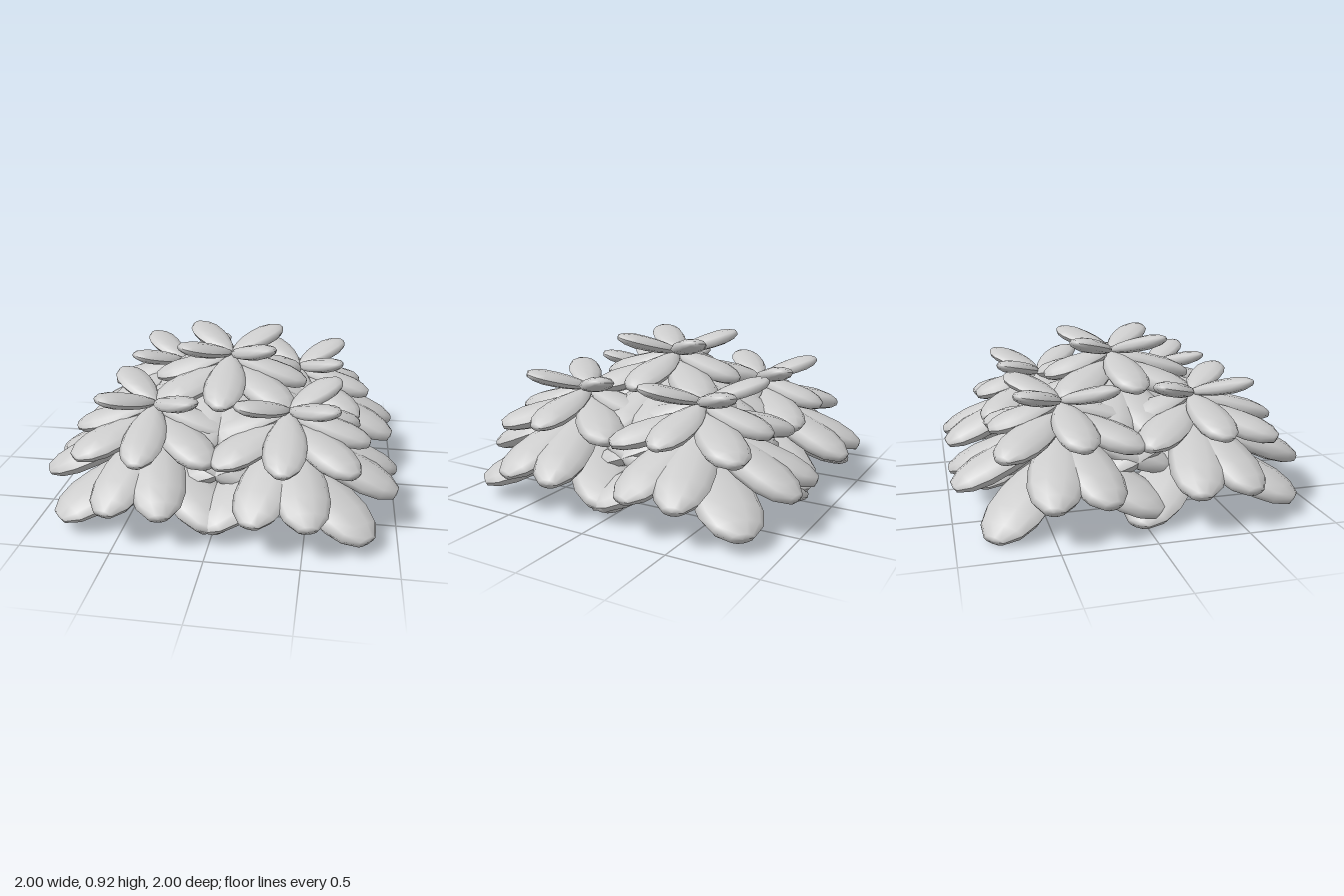
import * as THREE from 'three';

// Leaf outline from tip to base: [position along leaf, half width, half thickness]
const PROFILE = [
  [1, 0, 0], [0.99, 0.36, 0.42], [0.89, 0.76, 0.78], [0.74, 0.97, 1], [0.55, 1, 1],
  [0.37, 0.88, 0.92], [0.19, 0.6, 0.72], [0.05, 0.25, 0.4], [0, 0, 0],
];
const SIDES = 10;

// Unit leaf: grows along +y, x is its width, z its thickness
function leafGeometry() {
  const g = new THREE.SphereGeometry(1, SIDES, PROFILE.length - 1);
  const p = g.attributes.position;
  for (let i = 0; i < p.count; i++) {
    const row = Math.floor(i / (SIDES + 1));
    const a = ((i % (SIDES + 1)) / SIDES) * Math.PI * 2;
    const [t, w, h] = PROFILE[row];
    p.setXYZ(i, -Math.cos(a) * w, t, Math.sin(a) * h);
  }
  g.computeVertexNormals();
  return g;
}

// Tiers from the crown down; tips are relative to the crown of the rosette
const DIAGONALS = [[1, 1], [1, -1], [-1, 1], [-1, -1]];
const diagonal = (r, y) => DIAGONALS.map(([x, z]) => [x * r, y, z * r]);
const paired = (r, s, y) =>
  DIAGONALS.flatMap(([x, z]) => [[x * r, y, z * s], [x * s, y, z * r]]);

const TIERS = [
  { name: 'crownLeaf', base: -0.01, width: 0.195, thick: 0.085, tips: diagonal(0.26, 0.09) },
  {
    name: 'upperLeaf', base: -0.025, width: 0.235, thick: 0.11,
    tips: [[0.45, -0.16, 0.05], [-0.45, -0.16, 0.05], [0, -0.175, 0.49], [0, -0.145, -0.4]],
  },
  { name: 'middleLeaf', base: -0.08, width: 0.265, thick: 0.125, tips: diagonal(0.37, -0.205) },
  { name: 'lowerLeaf', base: -0.15, width: 0.305, thick: 0.145, tips: paired(0.607, 0.15, -0.405) },
  {
    name: 'bottomLeaf', base: -0.3, width: 0.355, thick: 0.15,
    tips: diagonal(0.453, -0.535).map(([x, y, z]) =>
      x < 0 && z < 0 ? [x * 0.96, y - 0.065, z * 0.96] : [x, y, z]),
  },
];

function makeLeaf(geometry, material, tier, tip) {
  const base = new THREE.Vector3(0, tier.base, 0);
  const along = new THREE.Vector3(...tip).sub(base);
  const length = along.length();
  along.normalize();
  const side = along.clone().cross(new THREE.Vector3(0, 1, 0)).normalize();
  const normal = side.clone().cross(along);
  const leaf = new THREE.Mesh(geometry, material);
  leaf.name = tier.name;
  leaf.quaternion.setFromRotationMatrix(new THREE.Matrix4().makeBasis(side, along, normal));
  leaf.scale.set(tier.width / 2, length, tier.thick / 2);
  leaf.position.copy(base);
  return leaf;
}

export function createModel() {
  const model = new THREE.Group();
  model.name = 'leafyBush';
  const geometry = leafGeometry();
  const material = new THREE.MeshStandardMaterial({ color: 0xcccccc });

  const addRosette = (name, x, y, z) => {
    const rosette = new THREE.Group();
    rosette.name = name;
    rosette.position.set(x, y, z);
    for (const tier of TIERS)
      for (const tip of tier.tips) rosette.add(makeLeaf(geometry, material, tier, tip));
    model.add(rosette);
  };

  // Four rosettes at the corners and one raised in the middle
  for (const [x, z] of DIAGONALS) addRosette('cornerRosette', x * 0.38, 0.62, z * 0.38);
  addRosette('topRosette', 0, 0.81, 0);
  return model;
}
